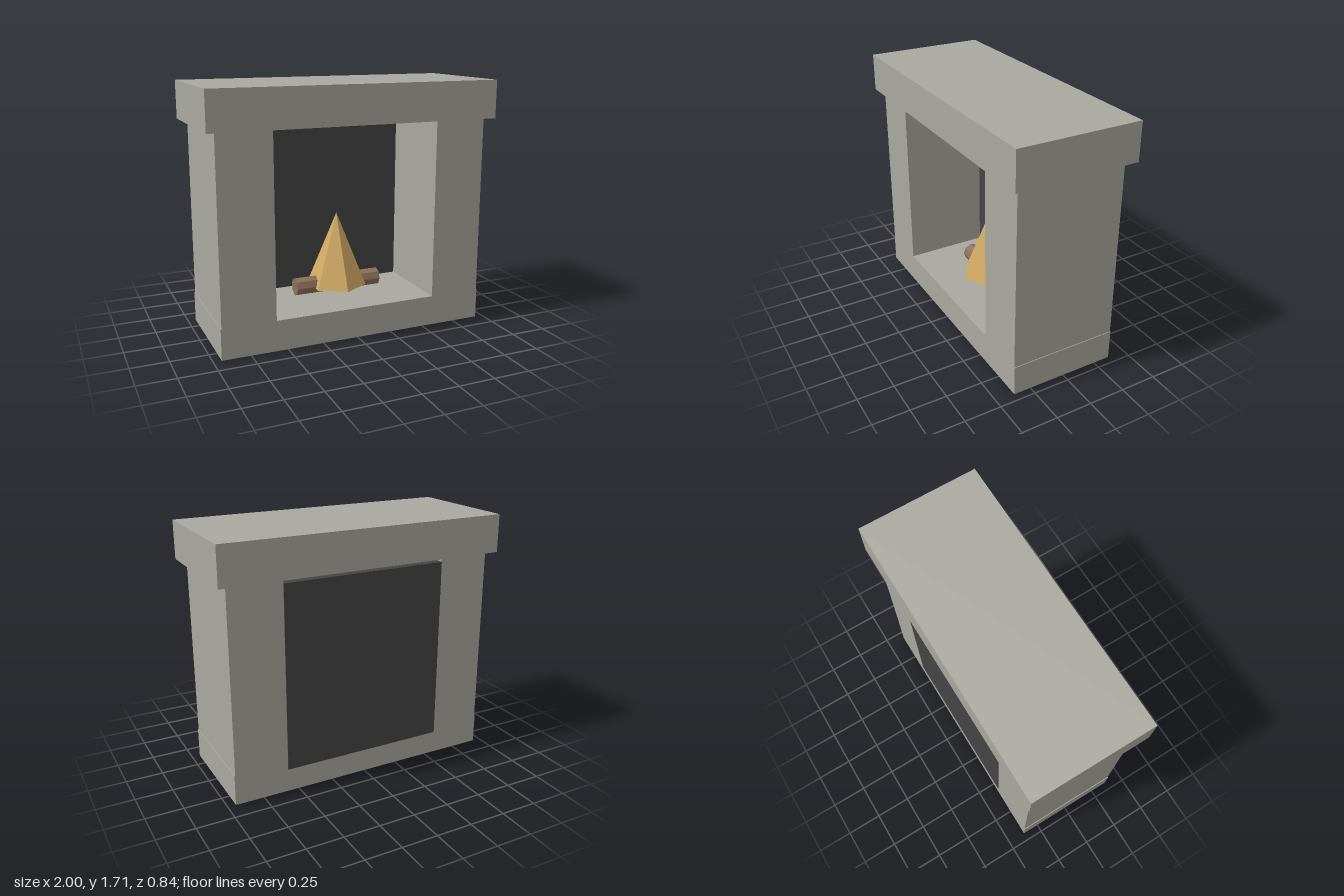
import * as THREE from 'three';

const material = (name, color) => {
  const m = new THREE.MeshStandardMaterial({ color });
  m.name = name;
  m.flatShading = true;
  return m;
};

export function createModel() {
  const stone = material('stone', 0xa9a8a0);
  const soot = material('soot', 0x444444);
  const flameYellow = material('flameYellow', 0xd2aa60);
  const bark = material('bark', 0x8b705a);

  const model = new THREE.Group();
  model.name = 'fireplace';

  const add = (name, geometry, mat, x, y, z) => {
    const mesh = new THREE.Mesh(geometry, mat);
    mesh.name = name;
    mesh.position.set(x, y, z);
    model.add(mesh);
    return mesh;
  };
  // Box given by its centre x and z, bottom and top heights
  const box = (name, mat, x, z, w, d, y0, y1) =>
    add(name, new THREE.BoxGeometry(w, y1 - y0, d), mat, x, (y0 + y1) / 2, z);

  // Stone surround
  box('hearth', stone, 0, 0, 1.89, 0.74, 0, 0.21);
  for (const [name, side] of [['leftPillar', 1], ['rightPillar', -1]]) {
    box(name, stone, side * 0.7575, 0, 0.365, 0.74, 0.21, 1.45);
  }
  box('mantel', stone, 0, 0, 2, 0.84, 1.45, 1.71);

  // Dark back wall, stopping short of the mantel and standing slightly proud behind
  box('backPanel', soot, 0, -0.2975, 1.15, 0.155, 0.16, 1.42);

  // Eight-sided log lying across the hearth
  const log = add('log', new THREE.CylinderGeometry(0.063, 0.063, 0.63, 8), bark, 0, 0.283, 0);
  log.rotation.z = Math.PI / 2;

  // Six-sided flame
  add('flame', new THREE.ConeGeometry(0.21, 0.52, 6), flameYellow, 0, 0.53, 0);

  return model;
}
